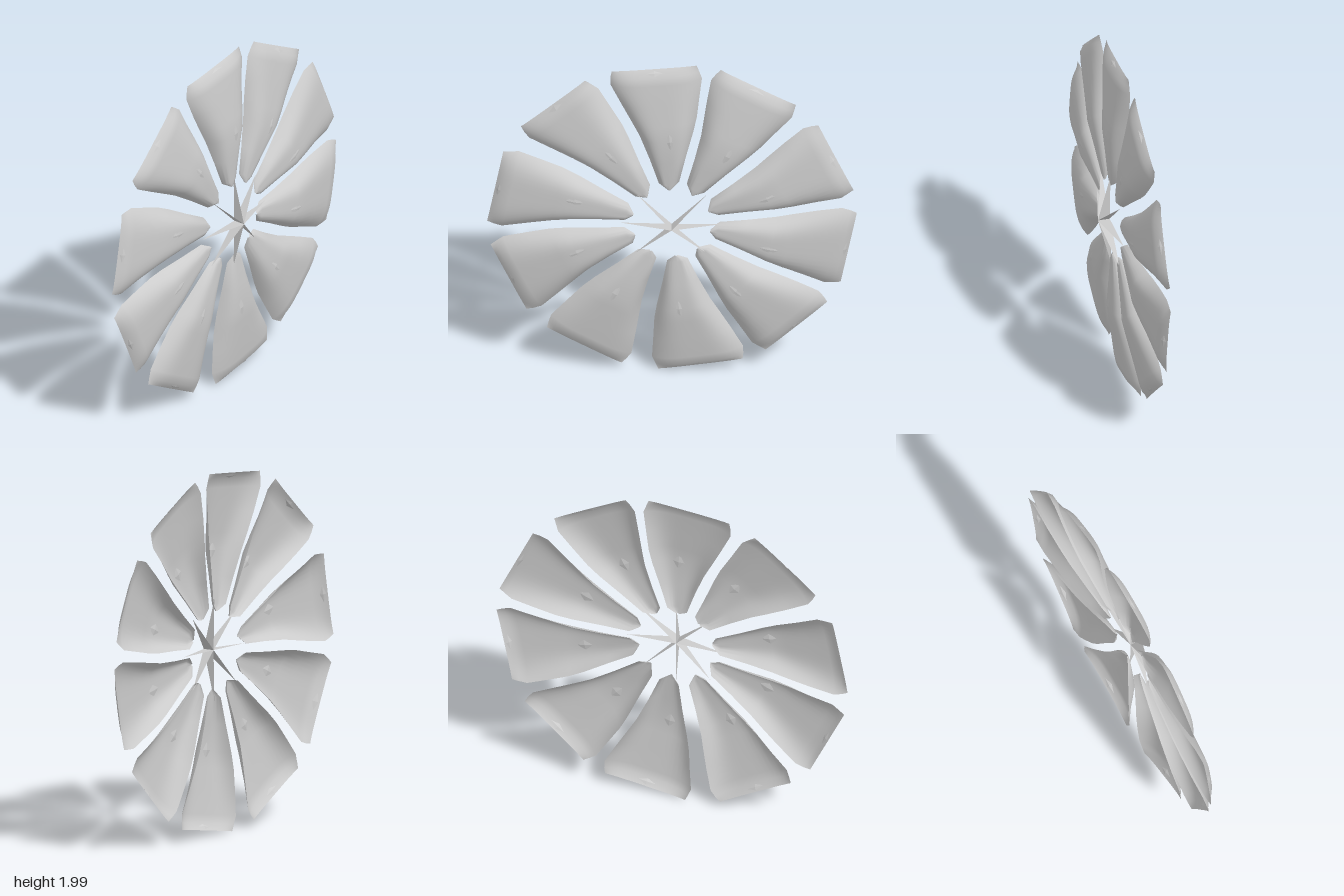
import * as THREE from 'three';
import { toCreasedNormals } from 'three/addons/utils/BufferGeometryUtils.js';

const VANES = 8;
// Slightly uneven petal directions, in degrees from the top
const ANGLES = [5.7, 41.4, 79.2, 114.8, 150.8, 189.1, 223.7, 259, 294.3, 331.3];

// Cross-sections of one petal from tip to rim:
// [radius, side offset, half width, edge x, crown x]
const ROWS = [
  [0.214, -0.01, 0.006, -0.012, -0.004],
  [0.253, -0.01, 0.056, -0.03, 0.0],
  [0.4, -0.018, 0.098, -0.045, 0.01],
  [0.55, -0.025, 0.146, -0.06, 0.021],
  [0.64, -0.022, 0.177, -0.066, 0.011],
  [0.76, -0.012, 0.212, -0.07, -0.004],
  [0.89, -0.003, 0.249, -0.07, -0.02],
  [0.937, 0, 0.241, -0.07, -0.028],
  [0.974, 0, 0.231, -0.07, -0.064],
];

function petalGeometry() {
  const N = 20, pos = [], index = [];
  for (const [r, offset, half, edge, crown] of ROWS) {
    for (let j = 0; j <= N; j++) {
      const t = Math.sin((0.5 - j / N) * Math.PI);
      pos.push(edge + (crown - edge) * (1 - Math.abs(t) ** 4), r, offset + half * t);
    }
  }
  for (let i = 0; i < ROWS.length - 1; i++) {
    for (let j = 0; j < N; j++) {
      const a = i * (N + 1) + j, b = a + 1, c = a + N + 1, d = c + 1;
      index.push(a, b, c, b, d, c);
    }
  }
  const g = new THREE.BufferGeometry();
  g.setAttribute('position', new THREE.Float32BufferAttribute(pos, 3));
  g.setIndex(index);
  return toCreasedNormals(g, 0.8);
}

// Thin upright vane running outward from the hub axis
function vaneGeometry() {
  const g = new THREE.BufferGeometry();
  g.setAttribute('position', new THREE.Float32BufferAttribute(
    [0.066, 0, 0, -0.005, 0.28, 0, 0, 0, 0], 3));
  g.computeVertexNormals();
  return g;
}

export function createModel() {
  const model = new THREE.Group();
  model.name = 'petalRing';
  const mat = new THREE.MeshStandardMaterial({ color: 0xcccccc, side: THREE.DoubleSide });
  const petalGeo = petalGeometry();
  const vaneGeo = vaneGeometry();
  const studGeo = new THREE.OctahedronGeometry(1, 0);

  const add = (parent, name, geo) => {
    const m = new THREE.Mesh(geo, mat);
    m.name = name;
    parent.add(m);
    return m;
  };

  ANGLES.forEach((angle, k) => {
    const petal = new THREE.Group();
    petal.name = 'petal' + (k + 1);
    petal.rotation.x = THREE.MathUtils.degToRad(angle);
    add(petal, 'petalShell', petalGeo);

    // Small facet on the crown
    const facet = add(petal, 'crownFacet', studGeo);
    facet.scale.set(0.005, 0.05, 0.032);
    facet.position.set(0.018, 0.545, -0.045);

    // Small facet on the sloping rim wall
    const rim = add(petal, 'rimFacet', studGeo);
    rim.scale.set(0.018, 0.004, 0.05);
    rim.position.set(-0.046, 0.955, 0);
    rim.rotation.z = -Math.PI / 4;

    model.add(petal);
  });

  // Star of edge-on vanes at the hub
  for (let k = 0; k < VANES; k++) {
    add(model, 'hubVane' + (k + 1), vaneGeo).rotation.x = (k / VANES) * Math.PI * 2;
  }

  model.position.set(0, 1.01, -0.006);
  const root = new THREE.Group();
  root.add(model);
  return root;
}
